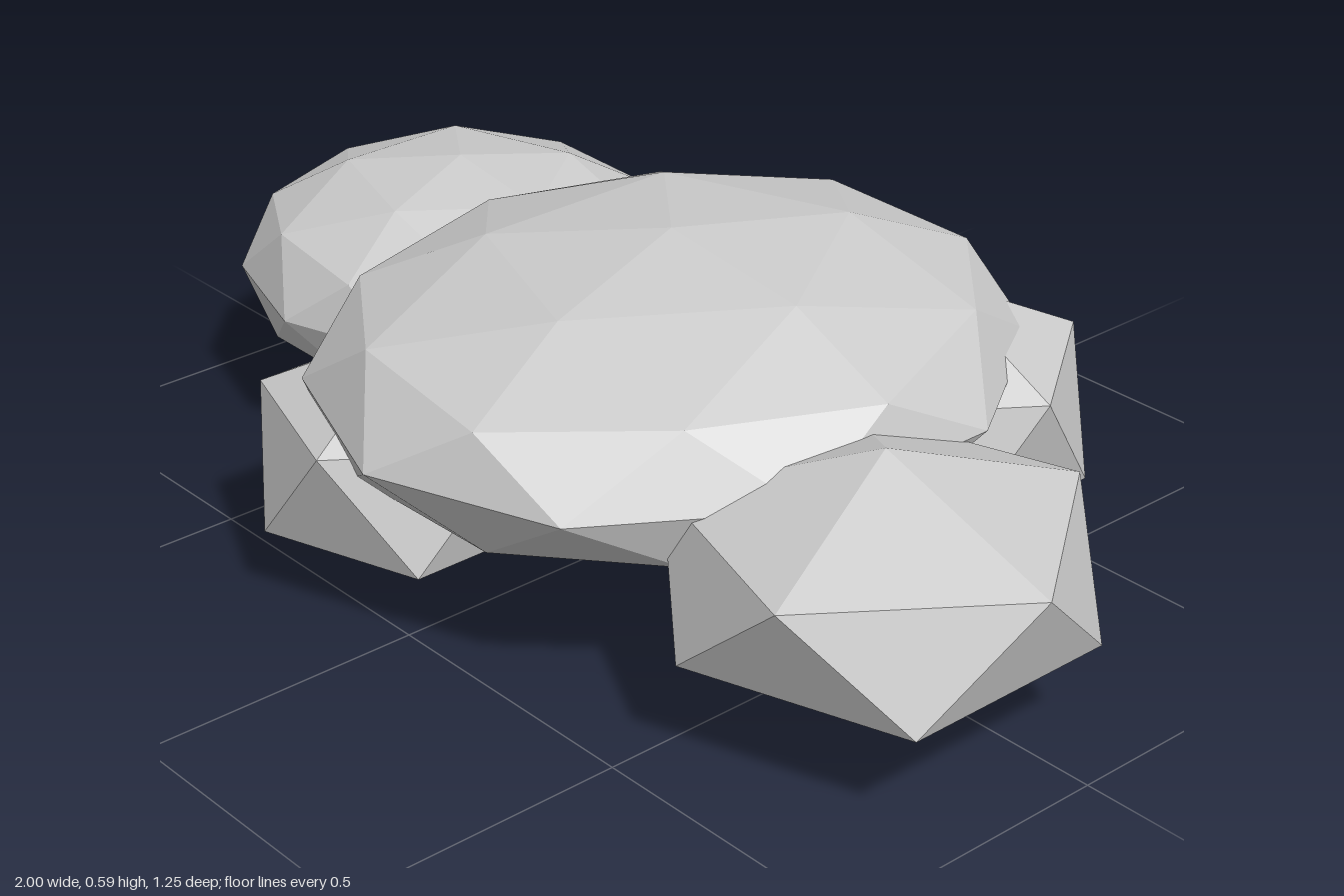
import * as THREE from 'three';

const material = new THREE.MeshStandardMaterial({ color: 0xcccccc, flatShading: true });

// Faceted ellipsoid with a vertex at each pole
function puff(name, detail, center, radii) {
  const geometry = new THREE.IcosahedronGeometry(1, detail);
  geometry.rotateZ(-Math.atan(2 / (1 + Math.sqrt(5))));
  geometry.scale(...radii);
  geometry.computeVertexNormals();
  const mesh = new THREE.Mesh(geometry, material);
  mesh.name = name;
  mesh.position.set(...center);
  return mesh;
}

export function createModel() {
  const cloud = new THREE.Group();
  cloud.name = 'cloud';
  cloud.add(
    // Finer, rounder puffs
    puff('mainPuff', 1, [0.067, 0.37, 0], [0.552, 0.225, 0.623]),
    puff('rightPuff', 1, [-0.615, 0.272, -0.105], [0.405, 0.203, 0.395]),
    // Coarse, chunky puffs
    puff('leftPuff', 0, [0.663, 0.272, 0.108], [0.375, 0.203, 0.375]),
    puff('frontPuff', 0, [-0.157, 0.232, 0.362], [0.285, 0.217, 0.288]),
    puff('backPuff', 0, [0.304, 0.24, -0.365], [0.295, 0.235, 0.304])
  );
  return cloud;
}
